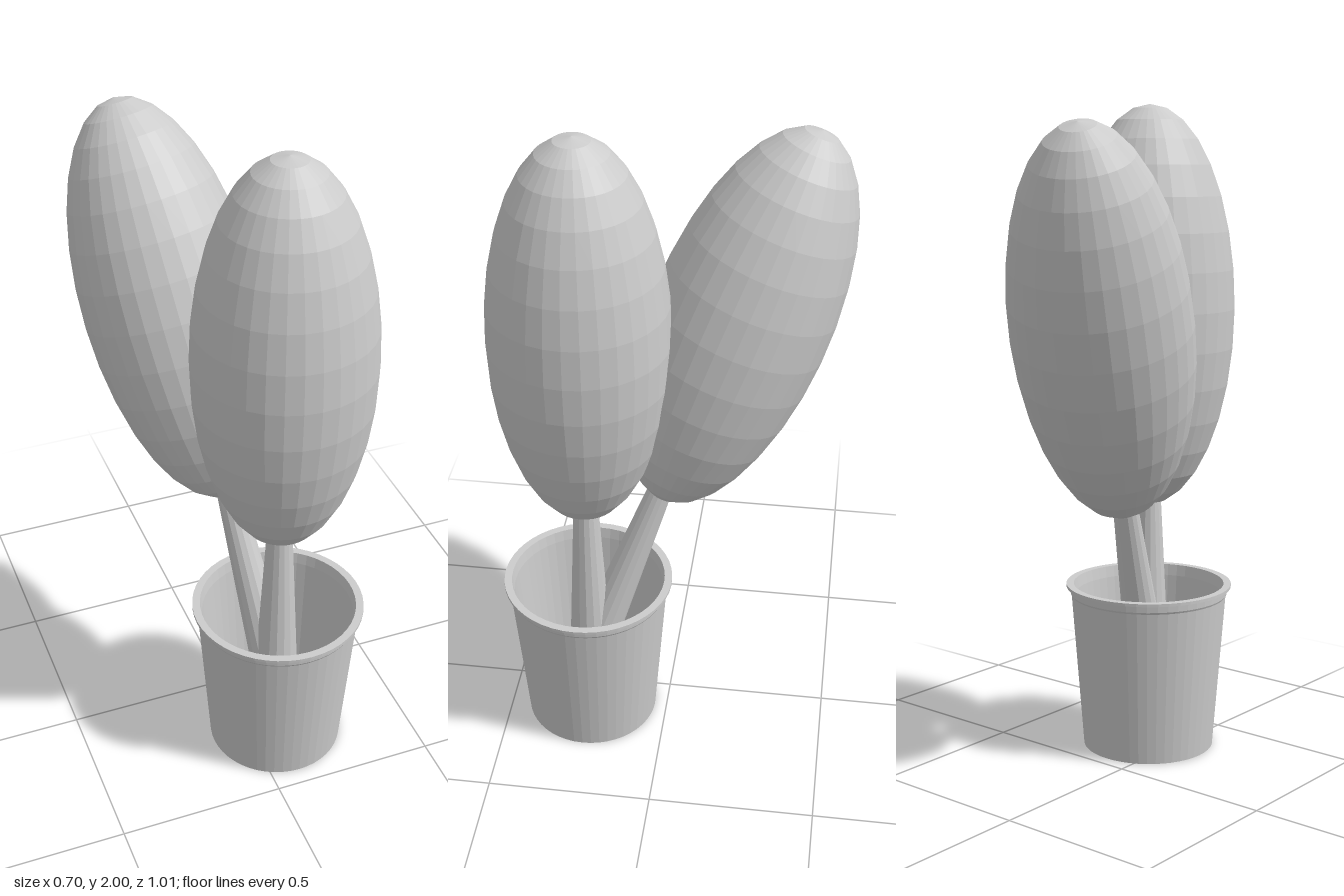
import * as THREE from 'three';

const flat = new THREE.MeshStandardMaterial({ color: 0xcccccc, flatShading: true });
const flatDouble = new THREE.MeshStandardMaterial({ color: 0xcccccc, flatShading: true, side: THREE.DoubleSide });
const UP = new THREE.Vector3(0, 1, 0);

// Tapered trunk running between two points
function makeTrunk(from, to, bottomRadius, topRadius) {
  const axis = to.clone().sub(from);
  const trunk = new THREE.Mesh(new THREE.CylinderGeometry(topRadius, bottomRadius, axis.length(), 16), flat);
  trunk.position.copy(from).add(to).multiplyScalar(0.5);
  trunk.quaternion.setFromUnitVectors(UP, axis.normalize());
  trunk.name = 'trunk';
  return trunk;
}

// Long egg of foliage, pointing along an axis
function makeFoliage(center, axis) {
  const geometry = new THREE.SphereGeometry(1, 32, 16);
  geometry.scale(0.26, 0.61, 0.26);
  const foliage = new THREE.Mesh(geometry, flat);
  foliage.position.copy(center);
  foliage.quaternion.setFromUnitVectors(UP, axis.clone().normalize());
  foliage.name = 'foliage';
  return foliage;
}

function makeTree(name, trunkFrom, trunkTo, center, axis) {
  const tree = new THREE.Group();
  tree.name = name;
  tree.add(makeTrunk(trunkFrom, trunkTo, 0.077, 0.036), makeFoliage(center, axis));
  return tree;
}

// Hollow pot with recessed base, overhanging lip and inner floor
function makePot() {
  const profile = [
    [0, 0.012], [0.155, 0.012], [0.16, 0], [0.205, 0],
    [0.243, 0.488], [0.246, 0.494], [0.247, 0.514],
    [0.259, 0.516], [0.259, 0.525], [0.236, 0.525],
    [0.23, 0.49], [0.192, 0.03], [0, 0.03],
  ].map(([r, y]) => new THREE.Vector2(r, y));
  const pot = new THREE.Mesh(new THREE.LatheGeometry(profile, 48), flatDouble);
  pot.position.set(0.09, 0, 0.243);
  pot.name = 'pot';
  return pot;
}

export function createModel() {
  const v = (x, y, z) => new THREE.Vector3(x, y, z);
  const model = new THREE.Group();
  model.name = 'pottedTrees';
  model.add(
    makePot(),
    makeTree('uprightTree', v(0.09, 0.03, 0.243), v(0.09, 0.83, 0.243), v(0.09, 1.39, 0.243), UP),
    makeTree('leaningTree', v(0.112, 0.04, 0.305), v(0.008, 0.84, 0.022), v(-0.082, 1.367, -0.185), v(-0.148, 0.929, -0.338)),
  );
  return model;
}
